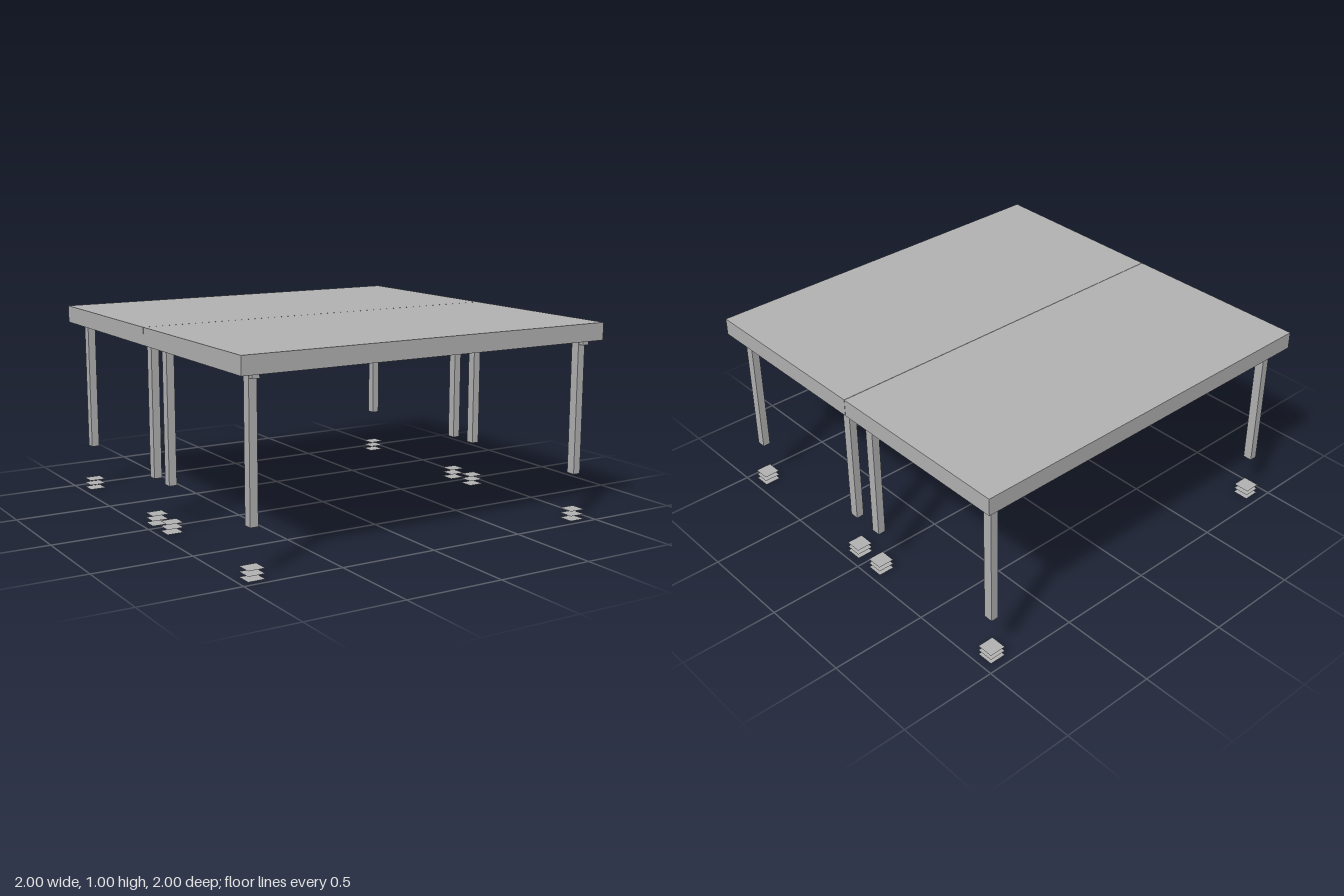
import * as THREE from 'three';

export function createModel() {
  const model = new THREE.Group();
  const grey = new THREE.MeshStandardMaterial({ color: 0xb2b2b2, side: THREE.DoubleSide });
  grey.name = 'grey';

  // Box given by its limits on each axis
  function box(parent, name, [x0, x1], [y0, y1], [z0, z1]) {
    const mesh = new THREE.Mesh(new THREE.BoxGeometry(x1 - x0, y1 - y0, z1 - z0), grey);
    mesh.position.set((x0 + x1) / 2, (y0 + y1) / 2, (z0 + z1) / 2);
    mesh.name = name;
    parent.add(mesh);
  }

  // Flat square sheet without thickness
  function sheet(parent, name, size, x, y, z) {
    const mesh = new THREE.Mesh(new THREE.PlaneGeometry(size, size).rotateX(-Math.PI / 2), grey);
    mesh.position.set(x, y, z);
    mesh.name = name;
    parent.add(mesh);
  }

  // Two table halves: panel, rim and joists
  const rim = 0.04, under = 0.955, bottom = 0.912;
  for (const side of [1, -1]) {
    const half = new THREE.Group();
    half.name = side > 0 ? 'frontTable' : 'backTable';
    model.add(half);
    const span = (a, b) => (side > 0 ? [a, b] : [-b, -a]);
    box(half, 'tabletop', [-1, 1], [under, 1], span(0.001, 1));
    box(half, 'outerRail', [-1, 1], [bottom, under], span(1 - rim, 1));
    box(half, 'innerRail', [-1, 1], [bottom, under], span(0.001, rim));
    for (const s of [1, -1]) {
      const x = s * (1 - rim / 2);
      box(half, 'endRail', [x - rim / 2, x + rim / 2], [bottom, under], span(rim, 1 - rim));
    }
    for (const x of [-0.5, 0, 0.5]) {
      box(half, 'joist', [x - 0.025, x + 0.025], [0.915, under], span(0.1, 0.91));
    }
  }

  // Legs with mounting plate, latch and floor glides
  for (const x of [-0.915, 0.915]) {
    for (const z of [0.918, 0.09, -0.084, -0.912]) {
      const leg = new THREE.Group();
      leg.name = 'legAssembly';
      model.add(leg);
      box(leg, 'leg', [x - 0.02, x + 0.02], [0.235, under], [z - 0.024, z + 0.024]);
      box(leg, 'legCollar', [x - 0.025, x + 0.025], [0.902, 0.915], [z - 0.024, z + 0.024]);
      box(leg, 'latch', [x - 0.018, x + 0.018], [0.89, 0.915], [z - 0.013, z + 0.053]);
      const plate = new THREE.Mesh(new THREE.CylinderGeometry(0.065, 0.065, 0.03, 8), grey);
      plate.geometry.rotateY(Math.PI / 8);
      plate.position.set(x * 0.975, 0.937, z);
      plate.name = 'mountingPlate';
      leg.add(plate);
      for (const y of [0, 0.025, 0.05]) sheet(leg, 'floorGlide', 0.086, x, y, z);
    }
  }

  // Clips that join the halves
  for (const x of [-0.5, 0.5]) {
    box(model, 'joiningClip', [x - 0.037, x + 0.037], [0.89, bottom], [-0.09, -0.03]);
    box(model, 'joiningTab', [x - 0.027, x + 0.027], [0.85, bottom], [0.075, 0.095]);
  }

  // Small sheets beneath the middle of the front half
  for (const y of [0.855, 0.88]) sheet(model, 'centreSheet', 0.086, 0, y, 0.17);

  return model;
}
